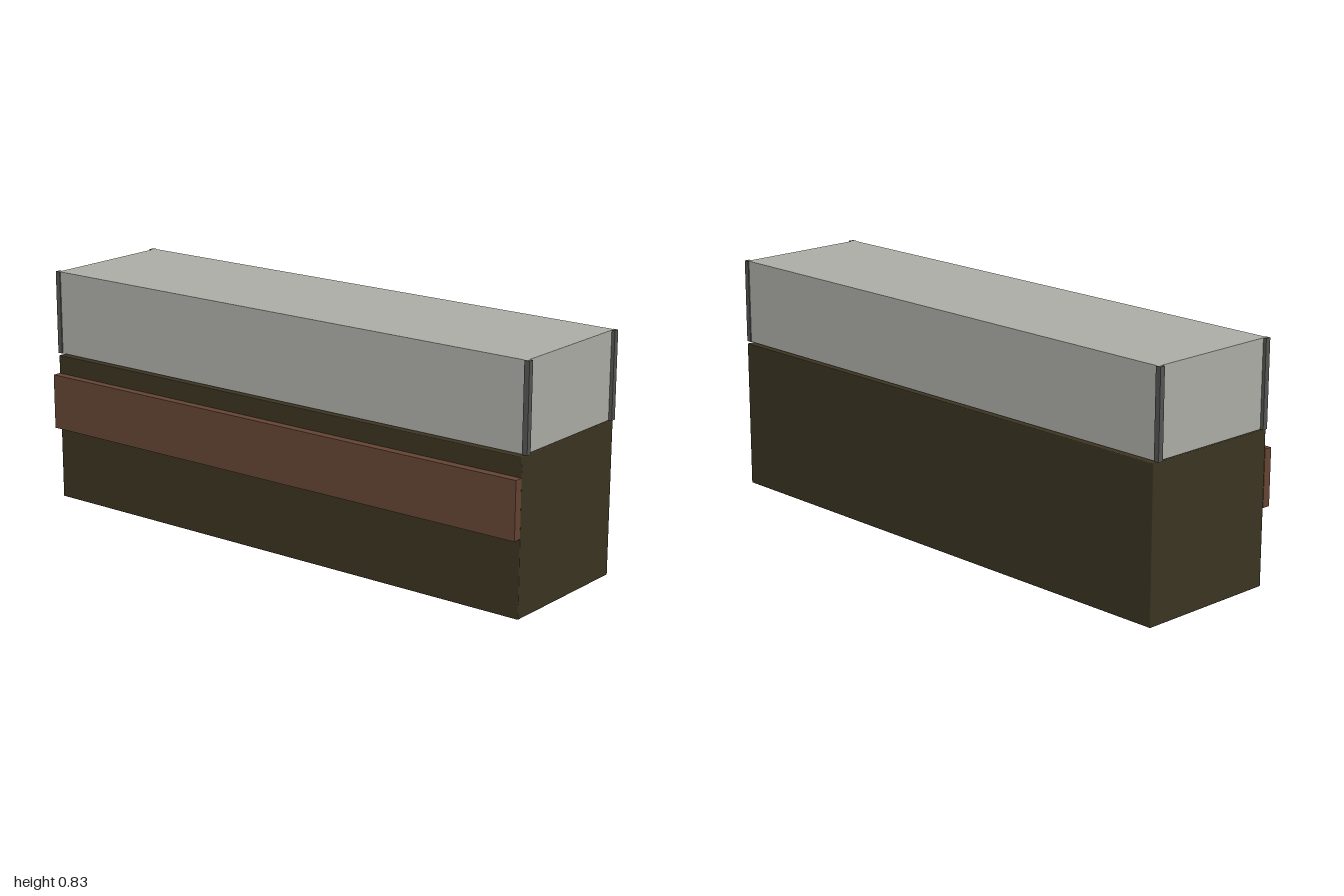
import * as THREE from 'three';
import { RoundedBoxGeometry } from 'three/addons/geometries/RoundedBoxGeometry.js';

export function createModel() {
  const material = (name, color) => {
    const m = new THREE.MeshStandardMaterial({ color });
    m.name = name;
    return m;
  };
  const darkWood = material('dark wood', 0x3c3422);
  const redWood = material('red brown wood', 0x654433);
  const glass = material('pale grey glass', 0xaeaea8);
  const trim = material('dark grey trim', 0x555553);

  const model = new THREE.Group();
  model.name = 'tankOnCabinet';
  const add = (name, geometry, mat, x, y, z) => {
    const mesh = new THREE.Mesh(geometry, mat);
    mesh.name = name;
    mesh.position.set(x, y, z);
    model.add(mesh);
    return mesh;
  };

  // Cabinet with slightly eased edges
  add('cabinet', new RoundedBoxGeometry(1.976, 0.528, 0.524, 1, 0.003), darkWood, 0, 0.264, -0.014);

  // Raised band across the front
  add('frontBand', new THREE.BoxGeometry(1.976, 0.197, 0.03), redWood, 0, 0.3635, 0.263);

  // Glass tank, standing just clear of the cabinet
  const bottom = 0.533, height = 0.297, midZ = -0.014;
  add('tank', new THREE.BoxGeometry(1.976, height, 0.498), glass, 0, bottom + height / 2, midZ);

  // L-shaped corner strips wrapping the four upright edges
  const halfX = 1, halfZ = 0.253, leg = 0.019, wallX = 0.012, wallZ = 0.004;
  for (const sx of [-1, 1]) {
    for (const sz of [-1, 1]) {
      const points = [
        [halfX, halfZ], [halfX - leg, halfZ], [halfX - leg, halfZ - wallZ],
        [halfX - wallX, halfZ - wallZ], [halfX - wallX, halfZ - leg], [halfX, halfZ - leg],
      ].map(([x, z]) => new THREE.Vector2(sx * x, -sz * z));
      const geometry = new THREE.ExtrudeGeometry(new THREE.Shape(points), { depth: height, bevelEnabled: false });
      geometry.rotateX(-Math.PI / 2);
      add('cornerStrip', geometry, trim, 0, bottom, midZ);
    }
  }
  return model;
}
